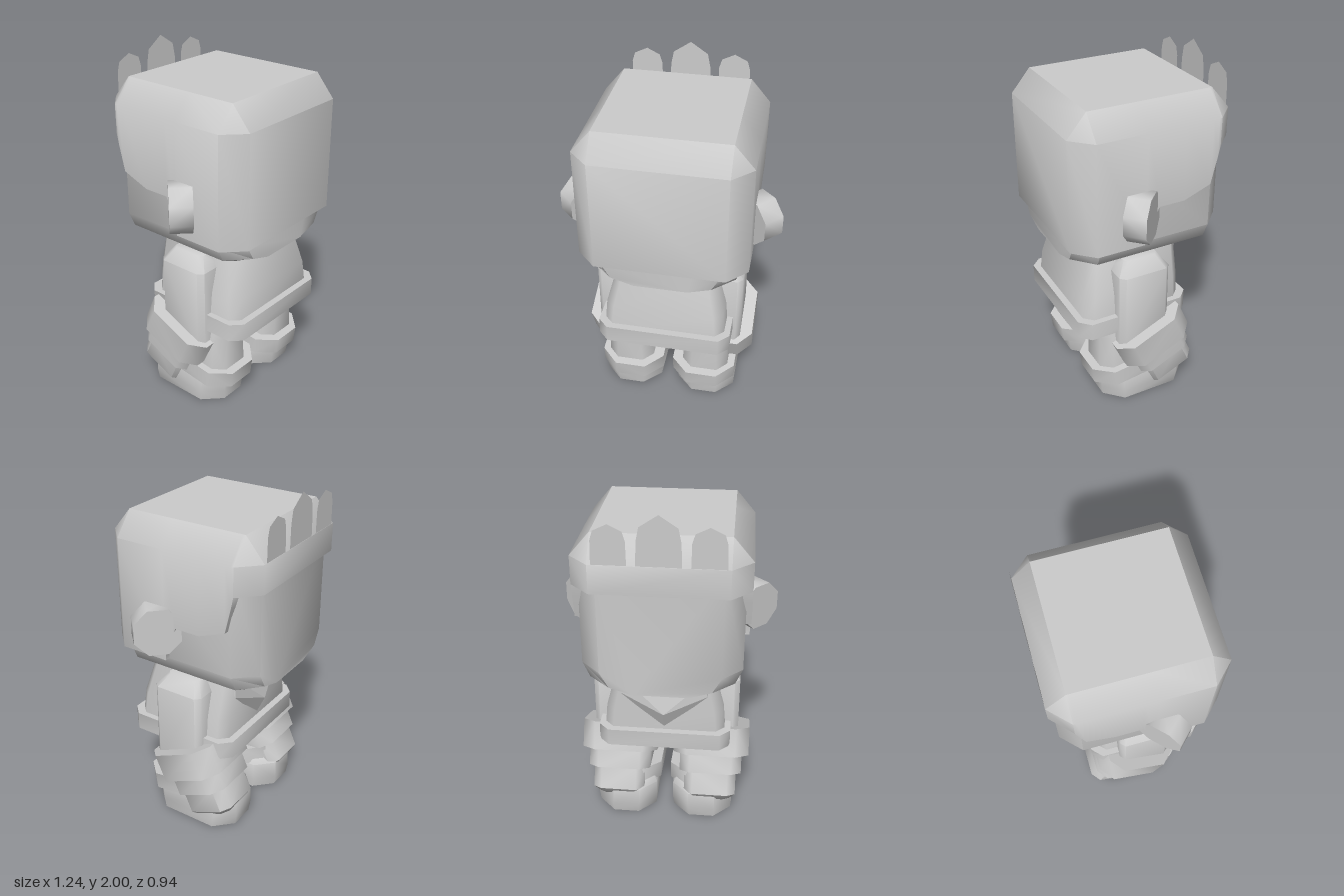
import * as THREE from 'three';
import { toCreasedNormals } from 'three/addons/utils/BufferGeometryUtils.js';
import { ConvexGeometry } from 'three/addons/geometries/ConvexGeometry.js';

const grey = new THREE.MeshStandardMaterial({ color: 0xcccccc, side: THREE.DoubleSide });
grey.name = 'plain grey';

// Closed solid through a list of equal-length rings of [x, y, z] points
function loft(rings) {
  const n = rings[0].length;
  const index = [];
  for (let r = 0; r < rings.length - 1; r++) {
    for (let i = 0; i < n; i++) {
      const a = r * n + i, b = r * n + (i + 1) % n;
      index.push(a, b, b + n, a, b + n, a + n);
    }
  }
  const last = (rings.length - 1) * n;
  for (let i = 1; i < n - 1; i++) {
    index.push(0, i + 1, i, last, last + i, last + i + 1);
  }
  const geo = new THREE.BufferGeometry();
  geo.setAttribute('position', new THREE.Float32BufferAttribute(rings.flat(2), 3));
  geo.setIndex(index);
  return toCreasedNormals(geo, 0.85);
}

// Horizontal rectangle with cut corners: height, x range, z range, corner cut
function octagon(y, x0, x1, z0, z1, c) {
  return [
    [x0 + c, y, z1], [x1 - c, y, z1], [x1, y, z1 - c], [x1, y, z0 + c],
    [x1 - c, y, z0], [x0 + c, y, z0], [x0, y, z0 + c], [x0, y, z1 - c],
  ];
}

const block = (...sections) => loft(sections.map((s) => octagon(...s)));

function add(parent, name, geometry) {
  const mesh = new THREE.Mesh(geometry, grey);
  mesh.name = name;
  parent.add(mesh);
  return mesh;
}

// Symmetric outline of x, y pairs, counter-clockwise, set at depth z
function outline(z, right) {
  const left = right.map(([x, y]) => [-x, y]).reverse();
  return [...right, ...left].map(([x, y]) => [x, y, z]);
}

function buildHead(model) {
  const headEnd = [[0.15, 0.96], [0.28, 1.0], [0.33, 1.09], [0.33, 1.68]];
  const headMid = [[0.31, 0.96], [0.4, 1.0], [0.44, 1.09], [0.44, 1.7]];
  add(model, 'head', loft([
    outline(-0.44, headEnd), outline(-0.33, headMid),
    outline(0.33, headMid), outline(0.44, headEnd),
  ]));

  // Hair cap: its lower edge steps up from the nape to the fringe
  const end = (z, low) => outline(z, [[0.36, low], [0.36, 1.73], [0.36, 1.73]]);
  const mid = ([z, low]) => outline(z, [[0.47, low], [0.47, 1.73], [0.36, 1.86]]);
  const edge = [
    [-0.36, 1.57], [-0.345, 1.5], [-0.31, 1.36], [-0.15, 1.3],
    [0, 1.3], [0.07, 1.15], [0.07, 1.09], [0.36, 1.09],
  ];
  add(model, 'hair', loft([end(-0.47, 1.57), ...edge.map(mid), end(0.47, 1.09)]));

  // Flat pointed tufts standing on the fringe
  for (const [x, w, shoulder, peak] of [[-0.25, 0.09, 1.91, 1.945], [0, 0.115, 1.935, 2], [0.25, 0.09, 1.91, 1.945]]) {
    const tuft = new THREE.Shape([
      [-w, 1.73], [w, 1.73], [w - 0.003, 1.86], [w - 0.018, shoulder],
      [0, peak], [0.018 - w, shoulder], [0.003 - w, 1.86],
    ].map((p) => new THREE.Vector2(...p)));
    add(model, 'hairTuft', new THREE.ShapeGeometry(tuft)).position.set(x, 0, -0.469);
  }
}

function buildBody(model) {
  add(model, 'torso', block(
    [0.55, -0.355, 0.355, -0.23, 0.385, 0.05],
    [0.72, -0.34, 0.34, -0.23, 0.37, 0.05],
    [0.97, -0.275, 0.275, -0.23, 0.31, 0.04],
  ));
  add(model, 'belt', block(
    [0.495, -0.385, 0.385, -0.27, 0.42, 0.06],
    [0.6, -0.385, 0.385, -0.27, 0.42, 0.06],
  ));
  // Pointed neckerchief
  add(model, 'neckerchief', new ConvexGeometry([
    [0.25, 0.96, -0.2], [-0.25, 0.96, -0.2], [0.24, 0.95, -0.235], [-0.24, 0.95, -0.235],
    [0.25, 0.84, -0.235], [-0.25, 0.84, -0.235], [0, 0.73, -0.28], [0, 0.6, -0.22],
  ].map((p) => new THREE.Vector3(...p))));
}

// Ear, arm and leg of the left side (+x)
function buildSide() {
  const side = new THREE.Group();

  // Ear: eight-sided disc turned outwards
  const ear = new THREE.CylinderGeometry(0.141, 0.141, 0.125, 8, 1, false, Math.PI / 8);
  ear.rotateX(Math.PI / 2);
  ear.rotateY(-Math.PI / 4);
  add(side, 'ear', toCreasedNormals(ear, 0.85)).position.set(0.483, 1.28, 0.113);

  add(side, 'sleeve', block(
    [0.38, 0.22, 0.43, -0.11, 0.2, 0.03],
    [0.87, 0.23, 0.43, -0.11, 0.2, 0.03],
    [0.94, 0.25, 0.365, -0.06, 0.145, 0.02],
  ));

  // Forearm leaning forwards
  const forearm = new THREE.Group();
  forearm.name = 'forearm';
  forearm.position.set(0.275, 0.42, -0.01);
  forearm.rotation.x = 0.42;
  side.add(forearm);
  add(forearm, 'cuff', block(
    [-0.085, -0.225, 0.225, -0.22, 0.22, 0.08],
    [0.085, -0.225, 0.225, -0.22, 0.22, 0.08],
  ));
  add(forearm, 'gloveBand', block(
    [-0.2, -0.185, 0.185, -0.185, 0.175, 0.06],
    [-0.08, -0.185, 0.185, -0.185, 0.175, 0.06],
  ));
  add(forearm, 'hand', block(
    [-0.37, -0.12, 0.12, -0.12, 0.13, 0.04],
    [-0.335, -0.155, 0.155, -0.165, 0.155, 0.05],
    [-0.19, -0.155, 0.155, -0.165, 0.155, 0.05],
  ));

  add(side, 'leg', block(
    [0.18, 0.09, 0.37, -0.14, 0.28, 0.06],
    [0.42, 0.1, 0.36, -0.12, 0.28, 0.06],
    [0.56, 0.12, 0.33, -0.1, 0.28, 0.05],
  ));
  add(side, 'boot', block(
    [0, 0.055, 0.405, -0.275, 0.262, 0.1],
    [0.06, 0.05, 0.41, -0.285, 0.27, 0.1],
    [0.17, 0.05, 0.405, -0.285, 0.28, 0.1],
    [0.22, 0.08, 0.38, -0.25, 0.27, 0.1],
  ));
  const bootCuff = add(side, 'bootCuff', block(
    [-0.05, -0.19, 0.19, -0.27, 0.28, 0.1],
    [0.05, -0.19, 0.19, -0.27, 0.28, 0.1],
  ));
  bootCuff.position.set(0.22, 0.2, 0.045);
  bootCuff.rotation.x = 0.13;
  return side;
}

export function createModel() {
  const model = new THREE.Group();
  model.name = 'blockFigure';
  buildHead(model);
  buildBody(model);
  const left = buildSide();
  left.name = 'leftSide';
  const right = buildSide();
  right.name = 'rightSide';
  right.scale.x = -1;
  model.add(left, right);
  return model;
}
